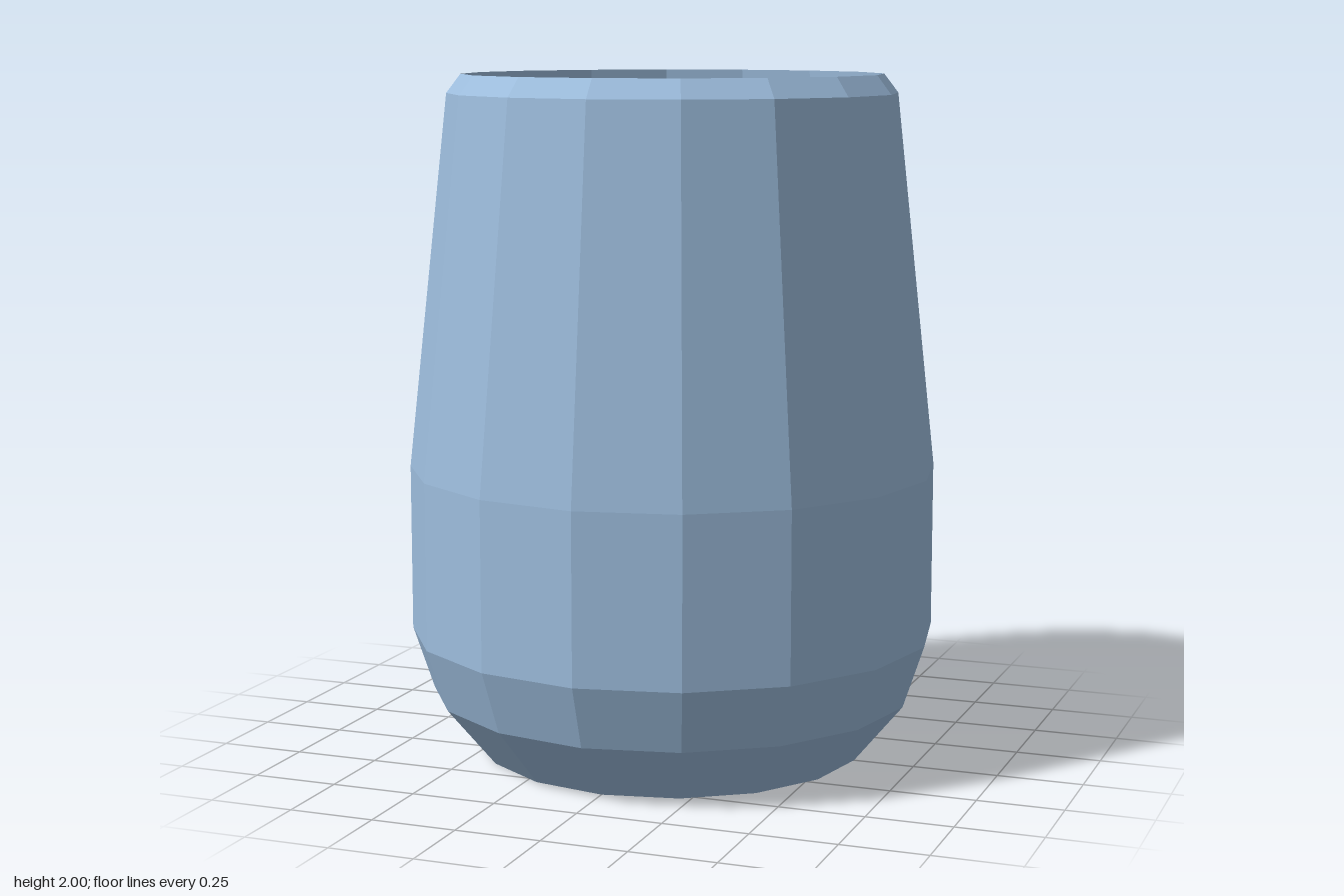
import * as THREE from 'three';

const SIDES = 16;

// Faceted surface of revolution from a [radius, height] profile
function facetedLathe(profile, material, name) {
  const points = profile.map(([r, y]) => new THREE.Vector2(r, y));
  const geometry = new THREE.LatheGeometry(points, SIDES).toNonIndexed();
  geometry.computeVertexNormals();
  const mesh = new THREE.Mesh(geometry, material);
  mesh.name = name;
  return mesh;
}

export function createModel() {
  const group = new THREE.Group();
  group.name = 'tumbler';

  const glass = new THREE.MeshStandardMaterial({ color: 0x9dbddd, flatShading: true });
  glass.name = 'pale blue';

  // Flat underside
  group.add(facetedLathe([[0, 0], [0.57, 0]], glass, 'base'));

  // Rounded foot, straight belly and tapering wall
  group.add(facetedLathe(
    [[0.57, 0], [0.715, 0.175], [0.777, 0.36], [0.777, 0.85], [0.657, 1.945]],
    glass, 'outerWall'));

  // Bevelled lip
  group.add(facetedLathe([[0.657, 1.945], [0.615, 2]], glass, 'rim'));

  // Inside of the bowl, following the outer wall downward
  group.add(facetedLathe(
    [[0.615, 2], [0.737, 0.85], [0.737, 0.37], [0.68, 0.2], [0.543, 0.04]],
    glass, 'innerWall'));

  // Slightly dished inner floor
  group.add(facetedLathe([[0.543, 0.04], [0, 0.02]], glass, 'innerFloor'));

  return group;
}
